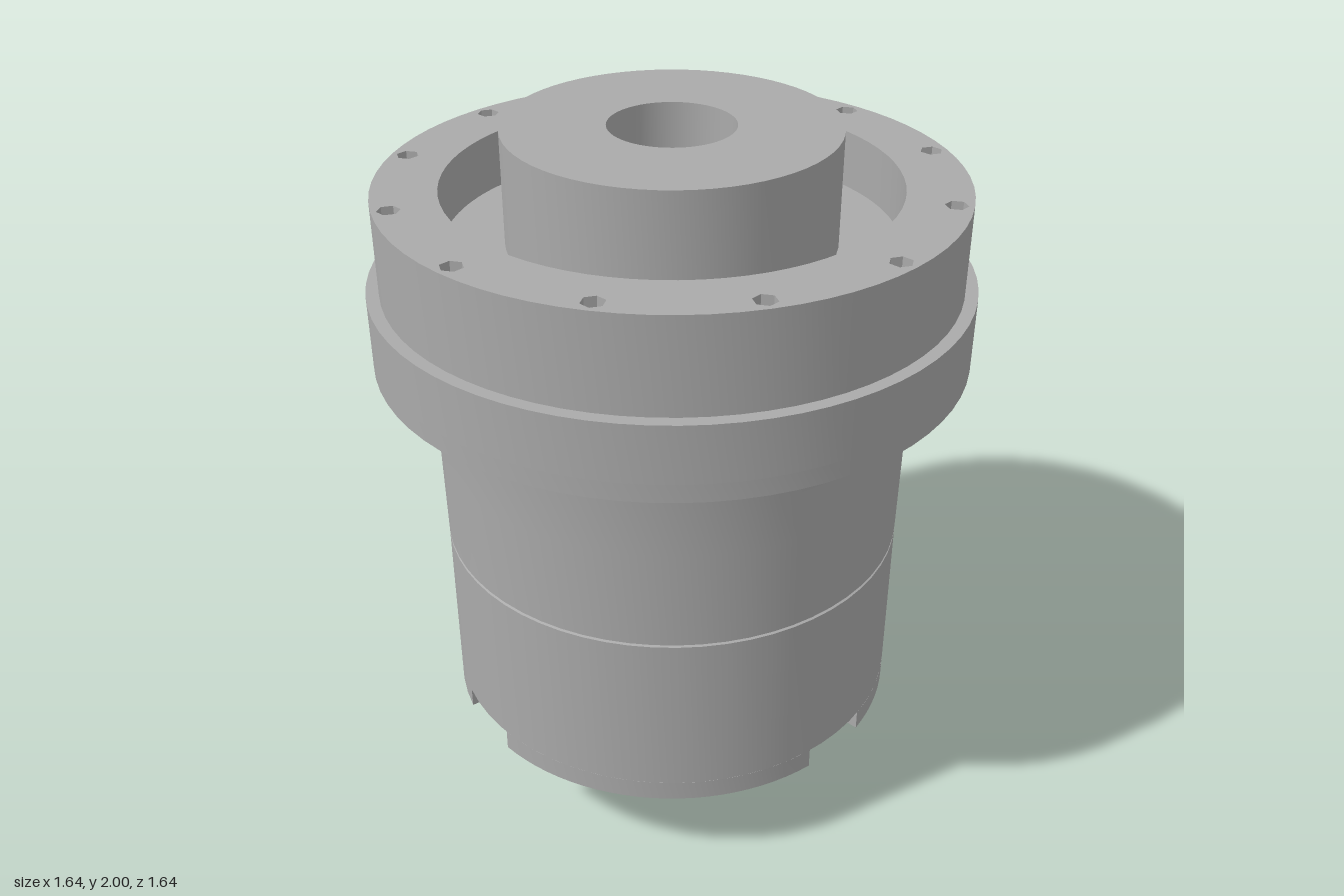
import * as THREE from 'three';
import { toCreasedNormals } from 'three/addons/utils/BufferGeometryUtils.js';

const TAU = Math.PI * 2;
const V = (x, y) => new THREE.Vector2(x, y);

export function createModel() {
  const group = new THREE.Group();
  const metal = new THREE.MeshStandardMaterial({ color: 0xaaaaaa });
  metal.name = 'grey metal';

  const add = (name, geometry, x = 0, y = 0, z = 0) => {
    const mesh = new THREE.Mesh(geometry, metal);
    mesh.name = name;
    mesh.position.set(x, y, z);
    group.add(mesh);
    return mesh;
  };
  // Revolved profile of [radius, height] pairs, outside running upward
  const lathe = (pairs, segments = 64) =>
    toCreasedNormals(new THREE.LatheGeometry(pairs.map((p) => V(...p)), segments), 0.4);
  // Flat plan shape raised from y0 to y1
  const slab = (shape, y0, y1) => {
    const g = new THREE.ExtrudeGeometry(shape, { depth: y1 - y0, bevelEnabled: false });
    g.rotateX(-Math.PI / 2);
    g.translate(0, y0, 0);
    return toCreasedNormals(g, 0.4);
  };
  const ring = (r, n = 72, cx = 0, cy = 0, turn = 0) =>
    Array.from({ length: n }, (_, i) =>
      V(cx + r * Math.cos(turn + (i / n) * TAU), cy + r * Math.sin(turn + (i / n) * TAU)));
  const path = (points) => new THREE.Path(points);

  // Main housing, recessed annular floor, raised hub and through bore
  add('housing', lathe([
    [0.17, 0.33], [0.66, 0.33], [0.66, 0.815], [0.654, 0.818], [0.654, 0.822], [0.66, 0.825],
    [0.664, 1.11], [0.668, 1.25], [0.68, 1.39], [0.61, 1.39], [0.61, 1.69],
    [0.445, 1.69], [0.445, 2], [0.17, 2], [0.17, 0.33],
  ]));

  // Bolt circle plates: twelve through holes, optional blind pockets below
  const boltPlate = (outer, pockets) => {
    const shape = new THREE.Shape(ring(outer));
    shape.holes.push(path(ring(0.61)));
    for (let i = 0; i < 12; i++) {
      const a = (i / 12) * TAU;
      shape.holes.push(path(ring(0.031, 6, 0.74 * Math.cos(a), 0.74 * Math.sin(a), a)));
    }
    if (pockets) {
      for (let i = 0; i < 4; i++) {
        const a = ((i + 0.5) / 4) * TAU;
        shape.holes.push(path(ring(0.055, 8, 0.74 * Math.cos(a), 0.74 * Math.sin(a), a)));
      }
    }
    return shape;
  };
  add('flangeUnderside', slab(boltPlate(0.82, true), 1.38, 1.43));
  add('flange', slab(boltPlate(0.82, false), 1.43, 1.59));
  add('upperRing', slab(boltPlate(0.785, false), 1.59, 1.85));

  // Foot plate with three U-shaped screw pockets open at the rim
  const notchAngles = [-Math.PI / 2, 0.22, Math.PI - 0.22];
  const outline = [];
  notchAngles.forEach((c, k) => {
    const dx = Math.cos(c), dy = Math.sin(c);
    for (let i = 0; i <= 10; i++) {
      const f = -Math.PI / 2 + (i / 10) * Math.PI;
      const d = 0.54 - 0.11 * Math.cos(f), t = 0.11 * Math.sin(f);
      outline.push(V(dx * d - dy * t, dy * d + dx * t));
    }
    const half = Math.asin(0.11 / 0.66);
    const next = k < 2 ? notchAngles[k + 1] : notchAngles[0] + TAU;
    for (let i = 0; i <= 24; i++) {
      const a = c + half + (next - c - 2 * half) * (i / 24);
      outline.push(V(0.66 * Math.cos(a), 0.66 * Math.sin(a)));
    }
    // Screw seat in the pocket ceiling
    add('screwSeat', lathe([
      [0.028, 0.3], [0.055, 0.3], [0.055, 0.33], [0.028, 0.33], [0.028, 0.3],
    ], 12), dx * 0.54, 0, -dy * 0.54);
  });
  const foot = new THREE.Shape(outline);
  foot.holes.push(path(ring(0.17)));
  add('footPlate', slab(foot, 0.27, 0.33));

  // Stepped collar around the bore underneath
  add('bottomCollar', lathe([
    [0.215, 0.235], [0.225, 0.23], [0.28, 0.23], [0.288, 0.24], [0.288, 0.275],
    [0.215, 0.275], [0.215, 0.235],
  ]));

  // Two faceted cable glands hanging at the back
  for (const x of [-0.185, 0.135]) {
    const gland = new THREE.LatheGeometry([
      V(0, 0.01), V(0.05, 0), V(0.08, 0.04), V(0.098, 0.09), V(0.1, 0.18),
      V(0.075, 0.2), V(0.075, 0.215), V(0.098, 0.23), V(0.098, 0.275),
    ], 8).toNonIndexed();
    gland.computeVertexNormals();
    add('cableGland', gland, x, 0, -0.5);
  }
  return group;
}
